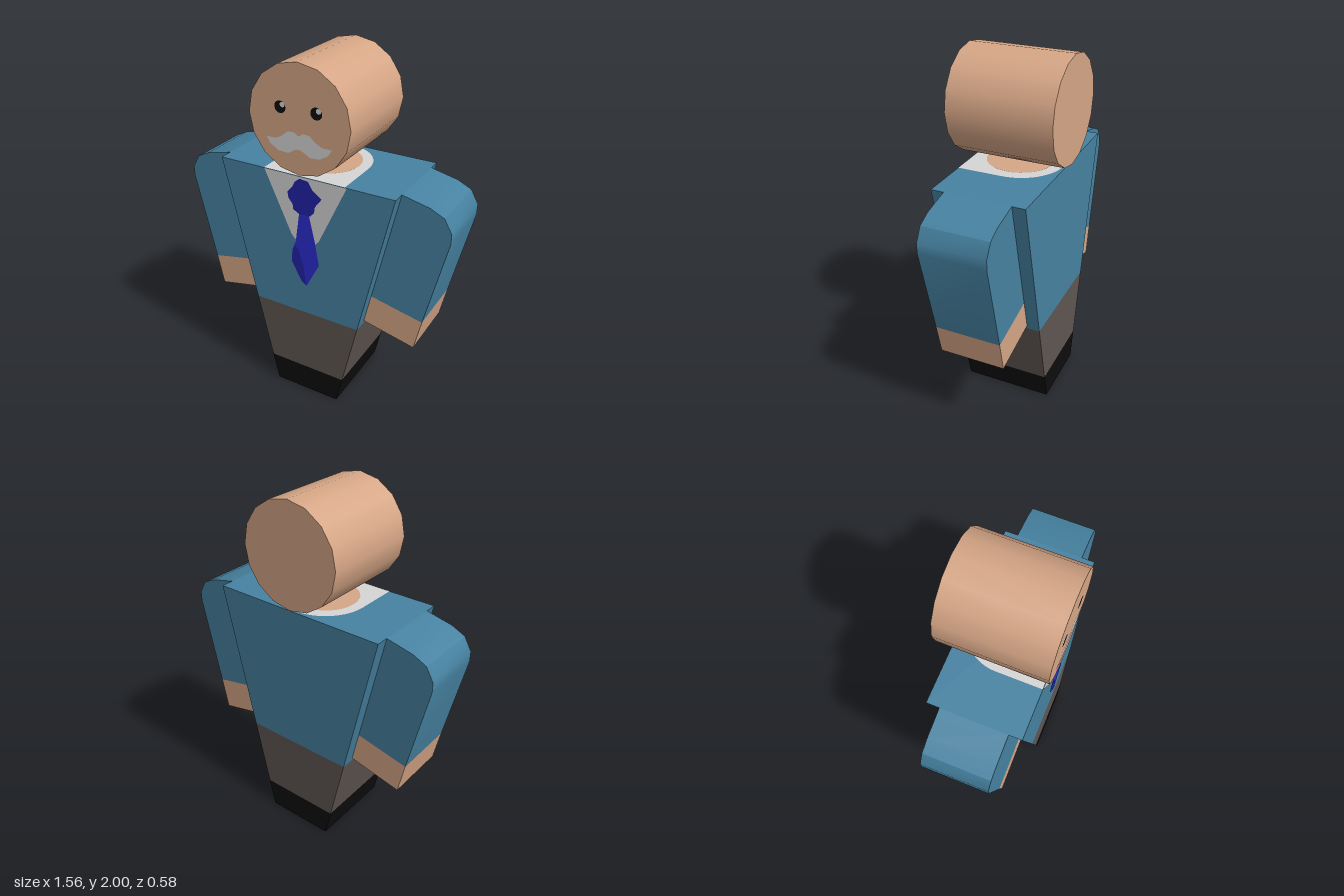
import * as THREE from 'three';
import { toCreasedNormals } from 'three/addons/utils/BufferGeometryUtils.js';

const material = (name, color) => {
  const m = new THREE.MeshStandardMaterial({ color });
  m.name = name;
  return m;
};

export function createModel() {
  const model = new THREE.Group();
  model.name = 'figure';
  const skin = material('skin', 0xd6a686);
  const shirt = material('shirt blue', 0x4682a1);
  const white = material('off white', 0xd5d5d5);
  const trousers = material('trouser grey', 0x5f5652);
  const black = material('black', 0x0d0d0d);
  const tieBright = material('tie blue', 0x2c2ccf);
  const tieDark = material('tie dark blue', 0x2222a8);

  const add = (name, geometry, mat, parent = model) => {
    const mesh = new THREE.Mesh(geometry, mat);
    mesh.name = name;
    parent.add(mesh);
    return mesh;
  };
  const outline = (points) => new THREE.Shape(points.map(([x, y]) => new THREE.Vector2(x, y)));
  // Solid with the given front outline, centred on z = 0
  const prism = (points, depth) => {
    const g = new THREE.ExtrudeGeometry(outline(points), { depth, bevelEnabled: false });
    g.translate(0, 0, -depth / 2);
    return toCreasedNormals(g, 0.6);
  };
  // Flat painted detail facing +z
  const decal = (name, points, z, mat) =>
    add(name, new THREE.ShapeGeometry(outline(points)).translate(0, 0, z), mat);

  // Tapered body in three bands
  const halfWidth = (y) => 0.2 + 0.225 * y;
  for (const [name, y0, y1, mat] of [
    ['shoes', 0, 0.165, black], ['trousers', 0.165, 0.56, trousers], ['torso', 0.56, 1.4, shirt],
  ]) {
    const a = halfWidth(y0), b = halfWidth(y1);
    add(name, prism([[-a, y0], [a, y0], [b, y1], [-b, y1]], 0.506), mat);
  }

  // Arms with rounded shoulders, and hands
  const sleeve = [[0.515, 1.4], [0.37, 0.757], [0.668, 0.694], [0.782, 1.2],
    [0.782, 1.257], [0.74, 1.33], [0.665, 1.366]];
  const hand = [[0.37, 0.757], [0.33, 0.58], [0.63, 0.514], [0.668, 0.694]];
  for (const side of [1, -1]) {
    const arm = new THREE.Group();
    arm.name = side > 0 ? 'leftArm' : 'rightArm';
    const mirror = (pts) => pts.map(([x, y]) => [x * side, y]);
    add('sleeve', prism(mirror(sleeve), 0.364), shirt, arm);
    add('hand', prism(mirror(hand), 0.364), skin, arm);
    model.add(arm);
  }

  // Head: a cylinder lying front to back
  const head = add('head', new THREE.CylinderGeometry(0.288, 0.288, 0.576, 16).rotateX(Math.PI / 2), skin);
  head.position.y = 1.712;

  // Collar on top of the torso, open to the front, with the neck disc inside
  const collar = new THREE.Shape();
  collar.moveTo(-0.24, -0.252);
  collar.lineTo(0.24, -0.252);
  collar.lineTo(0.24, 0);
  collar.absarc(0, 0, 0.24, 0, Math.PI, false);
  const collarTop = add('collarTop', new THREE.ShapeGeometry(collar, 16).rotateX(-Math.PI / 2), white);
  collarTop.position.y = 1.402;
  const neck = add('neck', new THREE.CircleGeometry(0.185, 32).rotateX(-Math.PI / 2), skin);
  neck.position.y = 1.405;

  // Shirt front and tie
  decal('collarFront', [[-0.238, 1.4], [-0.08, 1.05], [-0.06, 1.025], [0.07, 1.025], [0.09, 1.05], [0.252, 1.4]],
    0.2545, white);
  decal('tieBlade', [[-0.027, 1.19], [-0.053, 1.01], [-0.075, 0.96], [-0.08, 0.88], [-0.02, 0.77],
    [0.012, 0.748], [0.09, 0.9], [0.064, 1.05], [0.032, 1.19]], 0.2565, tieBright);
  decal('tieFold', [[-0.053, 0.985], [-0.075, 0.95], [-0.08, 0.88], [-0.02, 0.77], [0.01, 0.749],
    [-0.008, 0.88], [-0.035, 0.965]], 0.2585, tieDark);
  decal('tieKnot', [[-0.02, 1.39], [-0.05, 1.365], [-0.065, 1.335], [-0.095, 1.3], [-0.09, 1.265], [-0.065, 1.235],
    [-0.062, 1.205], [-0.03, 1.187], [0.04, 1.187], [0.065, 1.215], [0.07, 1.25], [0.11, 1.303],
    [0.058, 1.34], [0.03, 1.385]], 0.2585, tieDark);

  // Eyes with highlights
  for (const side of [1, -1]) {
    const eye = new THREE.Group();
    eye.name = side > 0 ? 'leftEye' : 'rightEye';
    eye.position.set(0.102 * side, 1.767, 0.29);
    add('pupil', new THREE.CircleGeometry(0.032, 20), black, eye);
    add('highlight', new THREE.CircleGeometry(0.014, 12), white, eye).position.set(0.014, 0.014, 0.002);
    model.add(eye);
  }

  // Moustache, one half mirrored
  const half = [[0, 1.634], [0.028, 1.652], [0.063, 1.648], [0.095, 1.62], [0.135, 1.6], [0.188, 1.6],
    [0.165, 1.565], [0.12, 1.538], [0.062, 1.534], [0.025, 1.557], [0, 1.565]];
  const otherHalf = half.slice(1, -1).reverse().map(([x, y]) => [-x, y]);
  decal('moustache', [...half, ...otherHalf], 0.29, white);

  return model;
}
